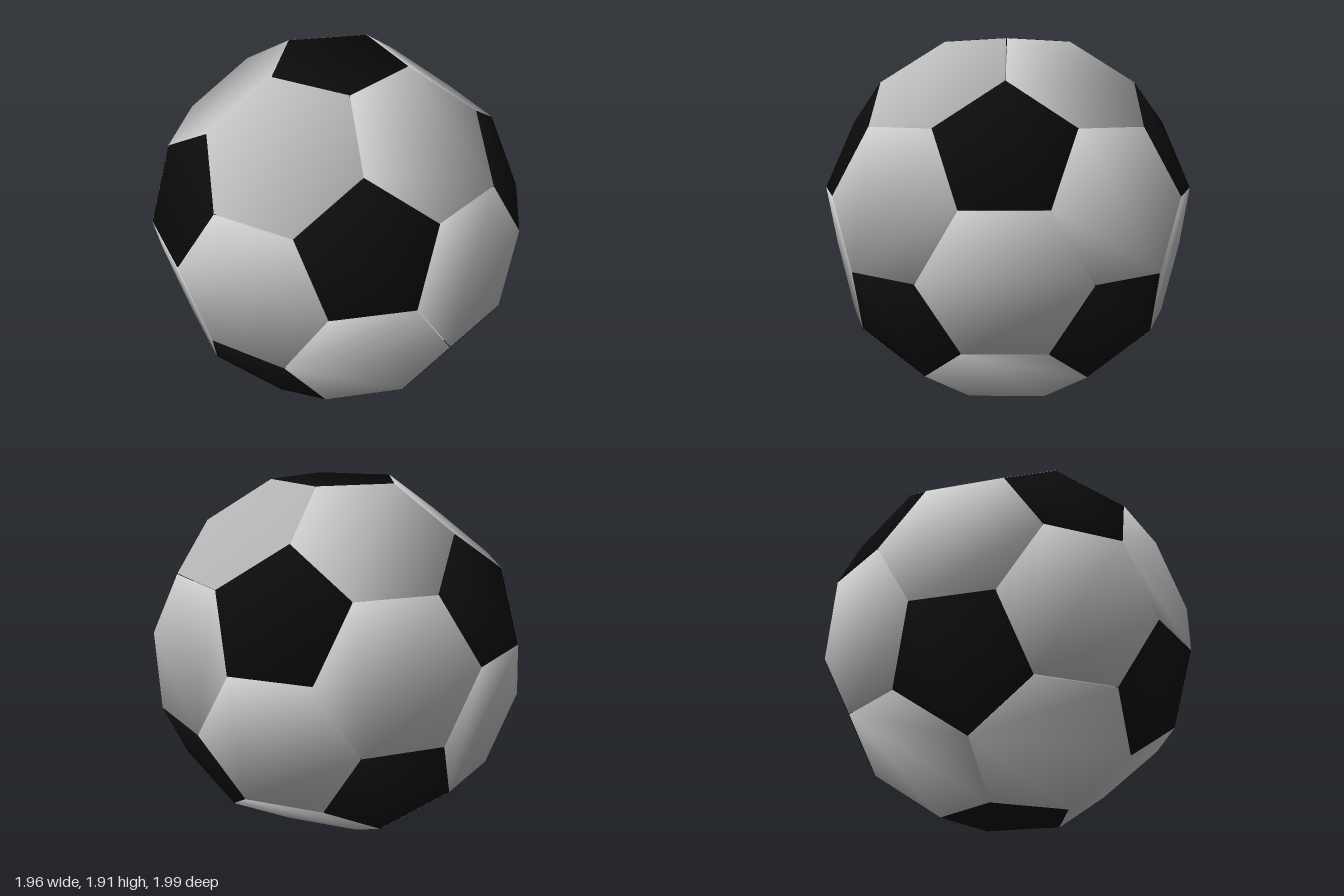
import * as THREE from 'three';

const RADIUS = 1.0147; // centre to panel corner
const HALF_HEIGHT = 0.953; // centre to pentagon plane
const SEAM = 0.994; // panel shrink that leaves a fine seam
const DEPTH = 0.95; // inner ring scale, gives the panel its thickness

// Twelve pentagon directions: two poles and two staggered rings of five
function pentagonAxes() {
  const axes = [new THREE.Vector3(0, 1, 0), new THREE.Vector3(0, -1, 0)];
  const h = 1 / Math.sqrt(5);
  for (let k = 0; k < 5; k++) {
    for (const [y, turn] of [[h, 0], [-h, 0.5]]) {
      const a = ((k + turn) * Math.PI * 2) / 5;
      axes.push(new THREE.Vector3(2 * h * Math.cos(a), y, 2 * h * Math.sin(a)));
    }
  }
  return axes;
}

// Corner one third of the way from axis a to axis b
const corner = (a, b) => a.clone().multiplyScalar(2).add(b).setLength(RADIUS);

// Thin flat panel with soft, pillow-like normals
function panelGeometry(corners) {
  const n = corners.length;
  const centre = corners.reduce((s, c) => s.add(c), new THREE.Vector3()).divideScalar(n);
  const axis = centre.clone().normalize();
  const u = corners[0].clone().sub(centre).normalize();
  const v = axis.clone().cross(u);
  const angle = (c) => Math.atan2(c.clone().sub(centre).dot(v), c.clone().sub(centre).dot(u));
  const ring = [...corners].sort((a, b) => angle(a) - angle(b));

  const positions = [], normals = [], index = [];
  for (const side of [1, -1]) {
    for (const c of ring) {
      const out = c.clone().sub(centre);
      const p = centre.clone().addScaledVector(out, SEAM);
      if (side < 0) p.multiplyScalar(DEPTH);
      const normal = out.normalize().multiplyScalar(1.2).addScaledVector(axis, side).normalize();
      positions.push(p.x, p.y, p.z);
      normals.push(normal.x, normal.y, normal.z);
    }
  }
  for (let i = 1; i < n - 1; i++) {
    index.push(0, i, i + 1, n, n + i + 1, n + i); // outer and inner faces
  }
  for (let i = 0; i < n; i++) {
    const j = (i + 1) % n;
    index.push(i, n + i, n + j, i, n + j, j); // rim
  }
  const geometry = new THREE.BufferGeometry();
  geometry.setAttribute('position', new THREE.Float32BufferAttribute(positions, 3));
  geometry.setAttribute('normal', new THREE.Float32BufferAttribute(normals, 3));
  geometry.setIndex(index);
  return geometry;
}

export function createModel() {
  const model = new THREE.Group();
  model.name = 'ball';
  const grey = new THREE.MeshStandardMaterial({ color: 0xcccccc });
  const black = new THREE.MeshStandardMaterial({ color: 0x0c0c0c });
  const axes = pentagonAxes();
  const near = (a, b) => a !== b && a.dot(b) > 0.4;

  function addPanel(name, corners, material) {
    const mesh = new THREE.Mesh(panelGeometry(corners), material);
    mesh.name = name;
    mesh.position.y = HALF_HEIGHT;
    model.add(mesh);
  }

  // Black pentagons, one on each axis
  for (const a of axes) {
    addPanel('pentagonPanel', axes.filter((b) => near(a, b)).map((b) => corner(a, b)), black);
  }

  // Grey hexagons, one between each three neighbouring axes
  axes.forEach((a, i) => axes.forEach((b, j) => axes.forEach((c, k) => {
    if (i < j && j < k && near(a, b) && near(b, c) && near(a, c)) {
      addPanel('hexagonPanel', [
        corner(a, b), corner(b, a), corner(b, c), corner(c, b), corner(c, a), corner(a, c),
      ], grey);
    }
  })));

  return model;
}
